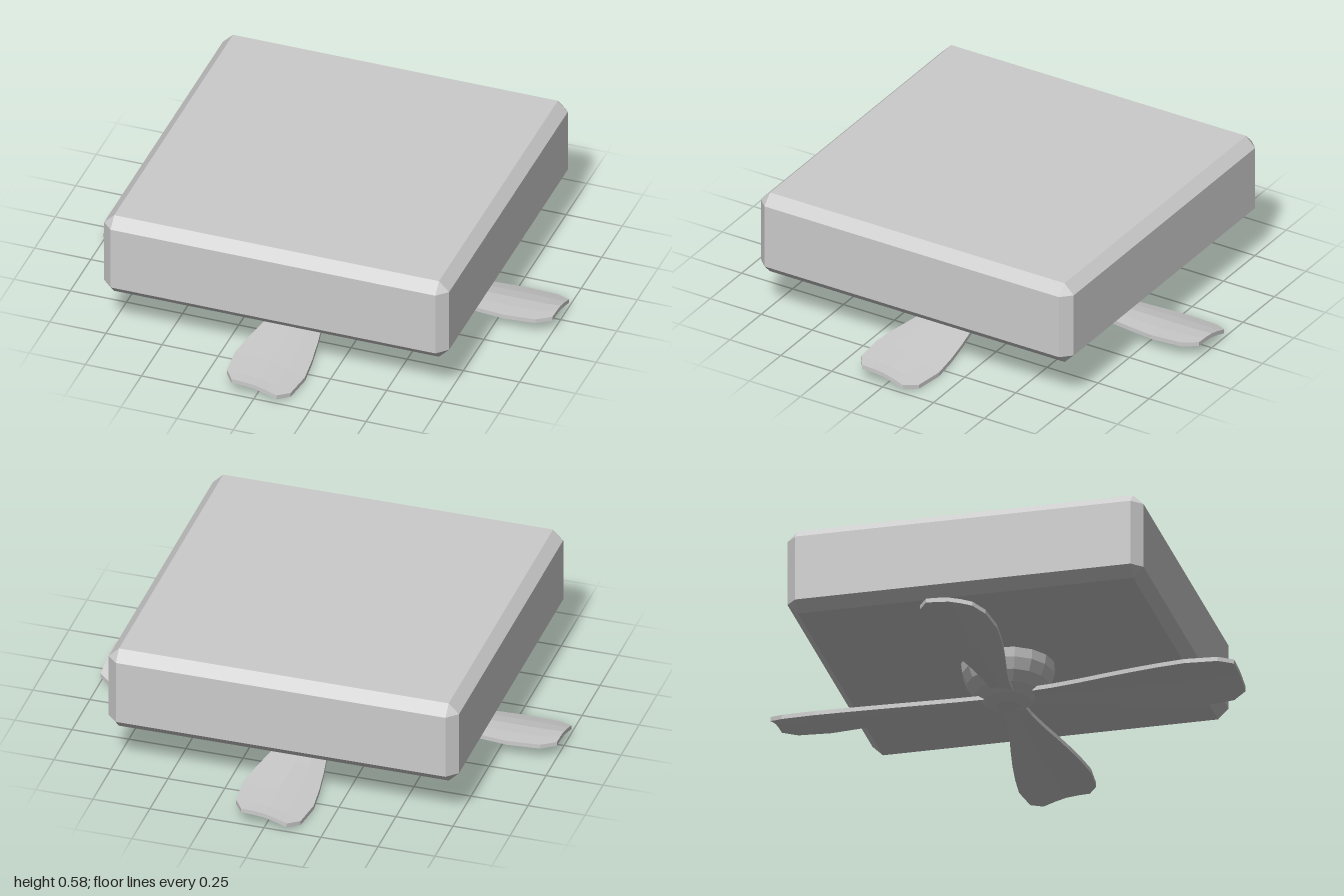
import * as THREE from 'three';
import { ConvexGeometry } from 'three/addons/geometries/ConvexGeometry.js';

const grey = new THREE.MeshStandardMaterial({ color: 0xcccccc, flatShading: true });

// Box with flat bevels on every edge and corner
function bevelledBox(hx, hy, hz, c) {
  const points = [];
  for (const sx of [-1, 1]) for (const sy of [-1, 1]) for (const sz of [-1, 1]) {
    points.push(
      new THREE.Vector3(sx * hx, sy * (hy - c), sz * (hz - c)),
      new THREE.Vector3(sx * (hx - c), sy * hy, sz * (hz - c)),
      new THREE.Vector3(sx * (hx - c), sy * (hy - c), sz * hz));
  }
  return new ConvexGeometry(points);
}

// Pitched, cambered blade along +z: closed cross-section loops of varying width
function bladeGeometry() {
  const stations = [[0.09, 0.045], [0.2, 0.055], [0.32, 0.075], [0.44, 0.1], [0.56, 0.123],
    [0.68, 0.142], [0.8, 0.155], [0.94, 0.142], [1, 0.1]]; // [distance out, half width]
  const camber = [[-1, 0], [-0.5, 0.02], [0, 0.07], [0.5, 0.2], [1, 0.37]]; // [across, drop]
  const thick = 0.019, n = camber.length, ring = 2 * n;
  const pos = [], index = [];
  for (const [z, w] of stations) {
    const top = camber.map(([u, d]) => [u * w, 0.083 - d * w]);
    for (const [x, y] of top) pos.push(x, y, z);
    for (const [x, y] of top.reverse()) pos.push(x, y - thick, z);
  }
  for (let s = 0; s < stations.length - 1; s++) {
    for (let i = 0; i < ring; i++) {
      const j = (i + 1) % ring, a = s * ring + i, b = s * ring + j;
      index.push(a, a + ring, b, b, a + ring, b + ring);
    }
  }
  // End caps
  const last = (stations.length - 1) * ring;
  for (let i = 0; i < n - 1; i++) {
    const a = i, b = i + 1, c = ring - 2 - i, d = ring - 1 - i;
    index.push(a, b, c, a, c, d);
    index.push(last + a, last + c, last + b, last + a, last + d, last + c);
  }
  const g = new THREE.BufferGeometry();
  g.setAttribute('position', new THREE.Float32BufferAttribute(pos, 3));
  g.setIndex(index);
  g.computeVertexNormals();
  return g;
}

export function createModel() {
  const model = new THREE.Group();
  const add = (name, geometry, y = 0) => {
    const mesh = new THREE.Mesh(geometry, grey);
    mesh.name = name;
    mesh.position.y = y;
    model.add(mesh);
    return mesh;
  };

  // Square body
  add('body', bevelledBox(0.768, 0.19, 0.768, 0.045), 0.4);

  // Half-round hub below the body
  add('hub', new THREE.SphereGeometry(0.2, 16, 6, 0, Math.PI * 2, Math.PI / 2, Math.PI / 2), 0.22);

  // Four fan blades
  const blade = bladeGeometry();
  for (let i = 0; i < 4; i++) add('blade' + (i + 1), blade).rotation.y = i * Math.PI / 2;

  return model;
}
